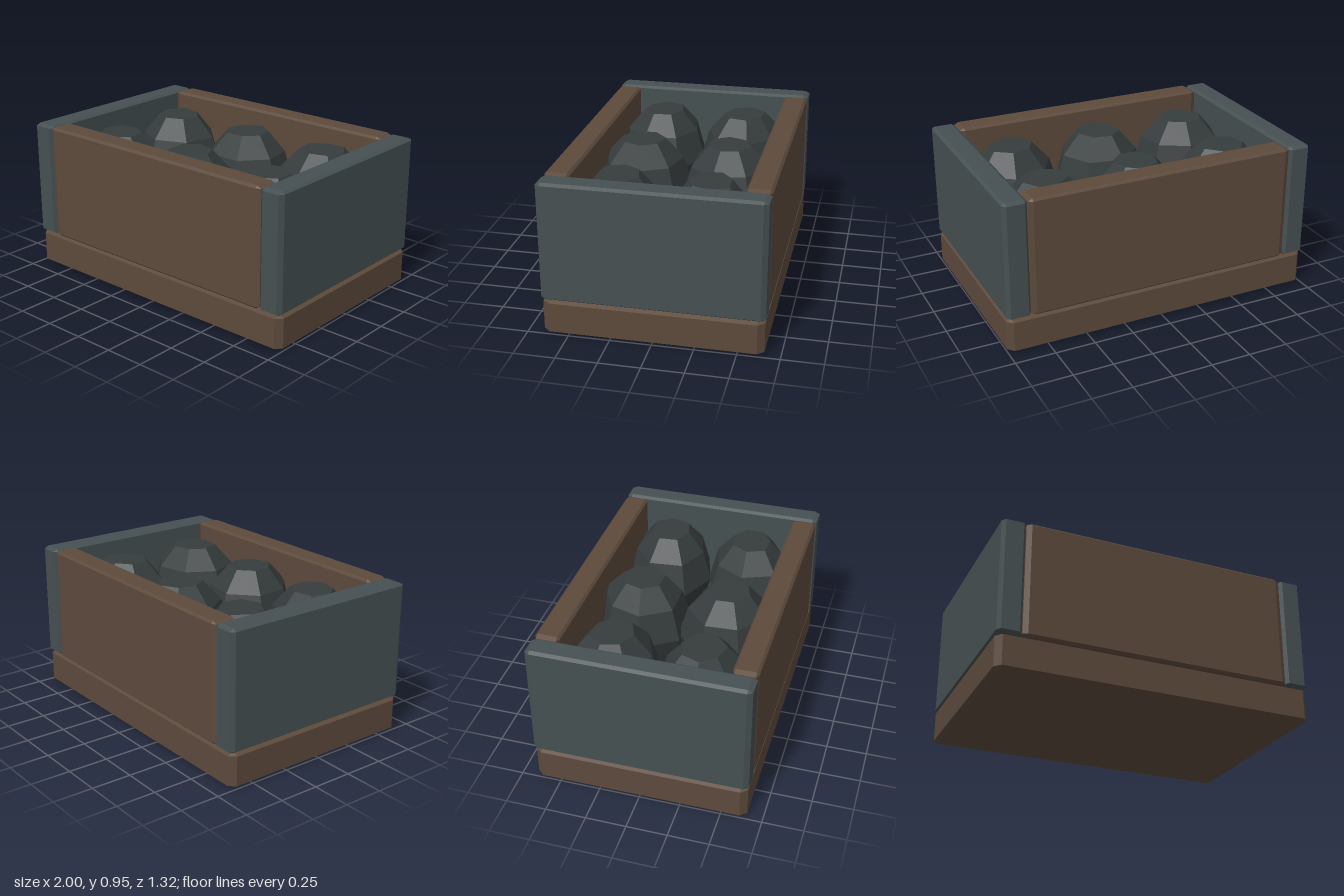
import * as THREE from 'three';
import { ConvexGeometry } from 'three/addons/geometries/ConvexGeometry.js';

const paint = (color) => new THREE.MeshStandardMaterial({ color, flatShading: true });
const wood = paint(0x5d4a3c);
const slate = paint(0x465052);
const stone = paint(0x363c3d);

// Box with chamfered edges; size, chamfer and centre are [x, y, z]
function chamferedBox(name, size, chamfer, centre, material) {
  const points = [];
  for (const sx of [-1, 1]) for (const sy of [-1, 1]) for (const sz of [-1, 1]) {
    const signs = [sx, sy, sz];
    // each corner becomes three points, one on each adjoining face
    for (let face = 0; face < 3; face++) {
      const p = signs.map((s, i) => s * (size[i] / 2 - (i === face ? 0 : chamfer[i])));
      points.push(new THREE.Vector3(...p));
    }
  }
  const mesh = new THREE.Mesh(new ConvexGeometry(points), material);
  mesh.name = name;
  mesh.position.set(...centre);
  return mesh;
}

// Faceted seven-sided rock with a flat top, made slightly uneven around its axis
function rock(x, z, index) {
  const profile = [[0, -0.33], [0.14, -0.33], [0.25, -0.2], [0.315, 0], [0.255, 0.2], [0.14, 0.33], [0, 0.33]]
    .map(([r, y]) => new THREE.Vector2(r, y));
  const geometry = new THREE.LatheGeometry(profile, 7);
  const pos = geometry.attributes.position;
  for (let i = 0; i < pos.count; i++) {
    const px = pos.getX(i), pz = pos.getZ(i);
    const a = Math.atan2(pz, px);
    const k = 1 + 0.05 * Math.sin(2 * a + index * 1.7) + 0.03 * Math.cos(3 * a + index);
    pos.setX(i, px * k);
    pos.setZ(i, pz * k);
  }
  geometry.rotateY(index * 1.3);
  geometry.scale(1, 1, 0.95);
  geometry.computeVertexNormals();
  const mesh = new THREE.Mesh(geometry, stone);
  mesh.name = 'rock';
  mesh.position.set(x, 0.56, z);
  return mesh;
}

export function createModel() {
  const model = new THREE.Group();
  model.name = 'rockCrate';

  // Base slab
  model.add(chamferedBox('base', [2, 0.22, 1.31], [0.035, 0.017, 0.04], [0, 0.11, 0], wood));

  // End panels, then front and back panels between them
  for (const s of [1, -1]) {
    model.add(chamferedBox(s > 0 ? 'leftPanel' : 'rightPanel',
      [0.15, 0.735, 1.32], [0.02, 0.014, 0.03], [s * 0.925, 0.5875, 0], slate));
    model.add(chamferedBox(s > 0 ? 'frontPanel' : 'backPanel',
      [1.7, 0.735, 0.15], [0.03, 0.014, 0.015], [0, 0.5875, s * 0.583], wood));
  }

  // Two rows of three rocks
  const rocks = new THREE.Group();
  rocks.name = 'rocks';
  let index = 0;
  for (const z of [-0.27, 0.28]) {
    for (const x of [-0.6, 0, 0.6]) rocks.add(rock(x, z, index++));
  }
  model.add(rocks);
  return model;
}
